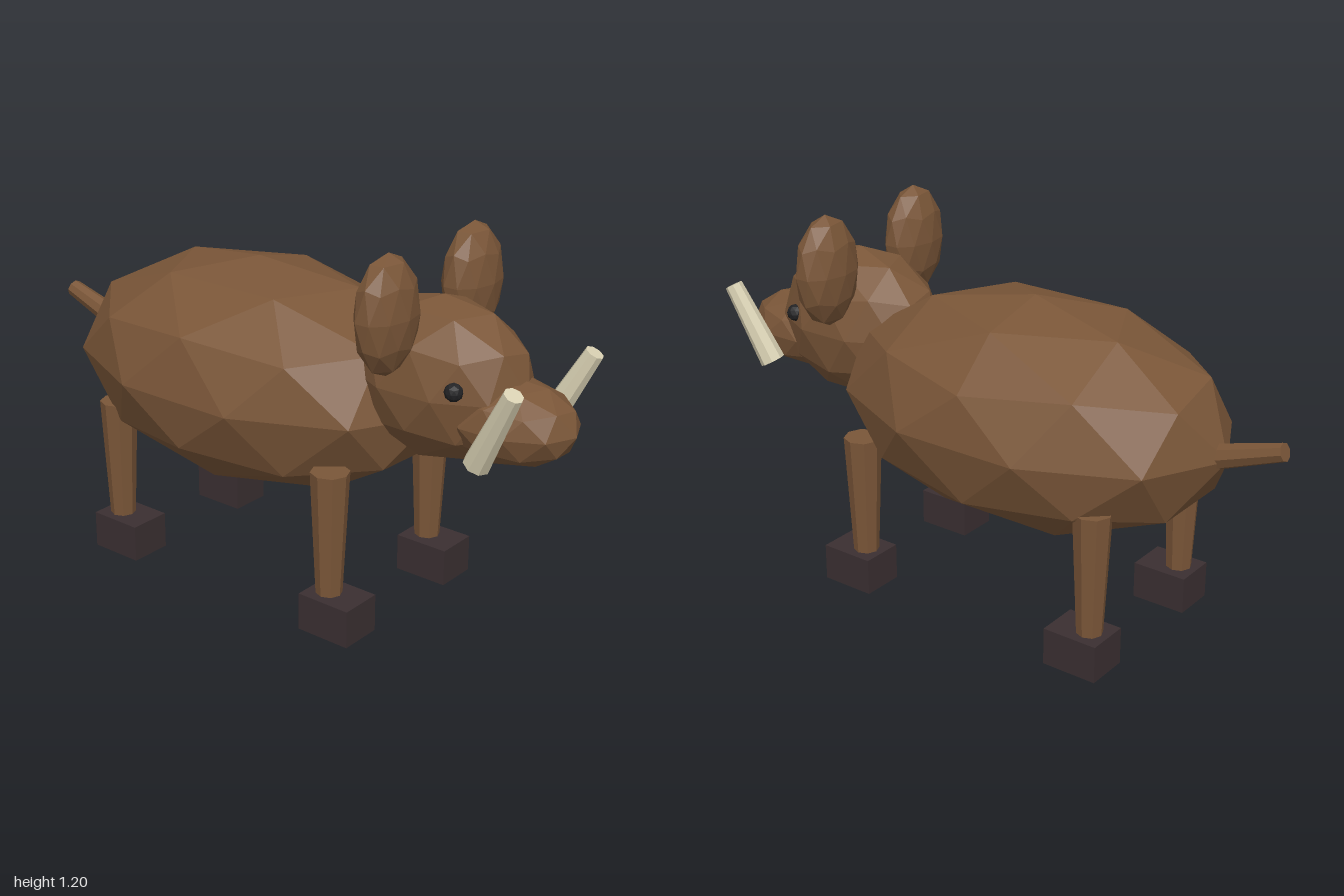
import * as THREE from 'three';

const mat = (name, color) => {
  const m = new THREE.MeshStandardMaterial({ color, flatShading: true });
  m.name = name;
  return m;
};

export function createModel() {
  const root = new THREE.Group();
  root.name = 'boar';
  const hide = mat('brown hide', 0x7a5638);
  const hoofMat = mat('dark hoof', 0x3a2f31);
  const ivory = mat('ivory tusk', 0xd8d0b2);
  const eyeMat = mat('black eye', 0x222224);

  const add = (name, geometry, material) => {
    const mesh = new THREE.Mesh(geometry, material);
    mesh.name = name;
    root.add(mesh);
    return mesh;
  };

  // Faceted ellipsoid with one vertex pointing straight up
  const blob = (name, material, [x, y, z], [rx, ry, rz]) => {
    const g = new THREE.IcosahedronGeometry(1, 1);
    g.rotateX(-Math.atan2((1 + Math.sqrt(5)) / 2, 1));
    g.rotateY(Math.PI / 2);
    g.scale(rx, ry, rz);
    add(name, g, material).position.set(x, y, z);
  };

  // Eight-sided tapered rod from point a to point b
  const rod = (name, material, a, b, ra, rb) => {
    const from = new THREE.Vector3(...a), to = new THREE.Vector3(...b);
    const dir = to.clone().sub(from);
    const mesh = add(name, new THREE.CylinderGeometry(rb, ra, dir.length(), 8), material);
    mesh.position.copy(from).add(to).multiplyScalar(0.5);
    mesh.quaternion.setFromUnitVectors(new THREE.Vector3(0, 1, 0), dir.normalize());
  };

  // Body, head and snout
  blob('body', hide, [0, 0.66, -0.14], [0.43, 0.36, 0.675]);
  blob('head', hide, [0, 0.79, 0.55], [0.205, 0.25, 0.295]);
  blob('snout', hide, [0, 0.718, 0.78], [0.16, 0.128, 0.22]);

  // Tail
  rod('tail', hide, [0, 0.66, -0.76], [0, 0.738, -0.99], 0.04, 0.028);

  for (const [side, s] of [['left', 1], ['right', -1]]) {
    // Ears, eyes and tusks
    blob(side + 'Ear', hide, [s * 0.211, 1.021, 0.503], [0.122, 0.18, 0.077]);
    blob(side + 'Eye', eyeMat, [s * 0.16, 0.826, 0.698], [0.028, 0.028, 0.028]);
    rod(side + 'Tusk', ivory, [s * 0.179, 0.642, 0.795], [s * 0.212, 0.889, 0.922], 0.041, 0.029);

    // Legs and hooves
    for (const [end, z] of [['Front', 0.342], ['Back', -0.528]]) {
      rod(side + end + 'Leg', hide, [s * 0.254, 0.1, z], [s * 0.254, 0.516, z], 0.04, 0.06);
      add(side + end + 'Hoof', new THREE.BoxGeometry(0.14, 0.12, 0.182), hoofMat)
        .position.set(s * 0.251, 0.06, z + 0.028);
    }
  }
  return root;
}
